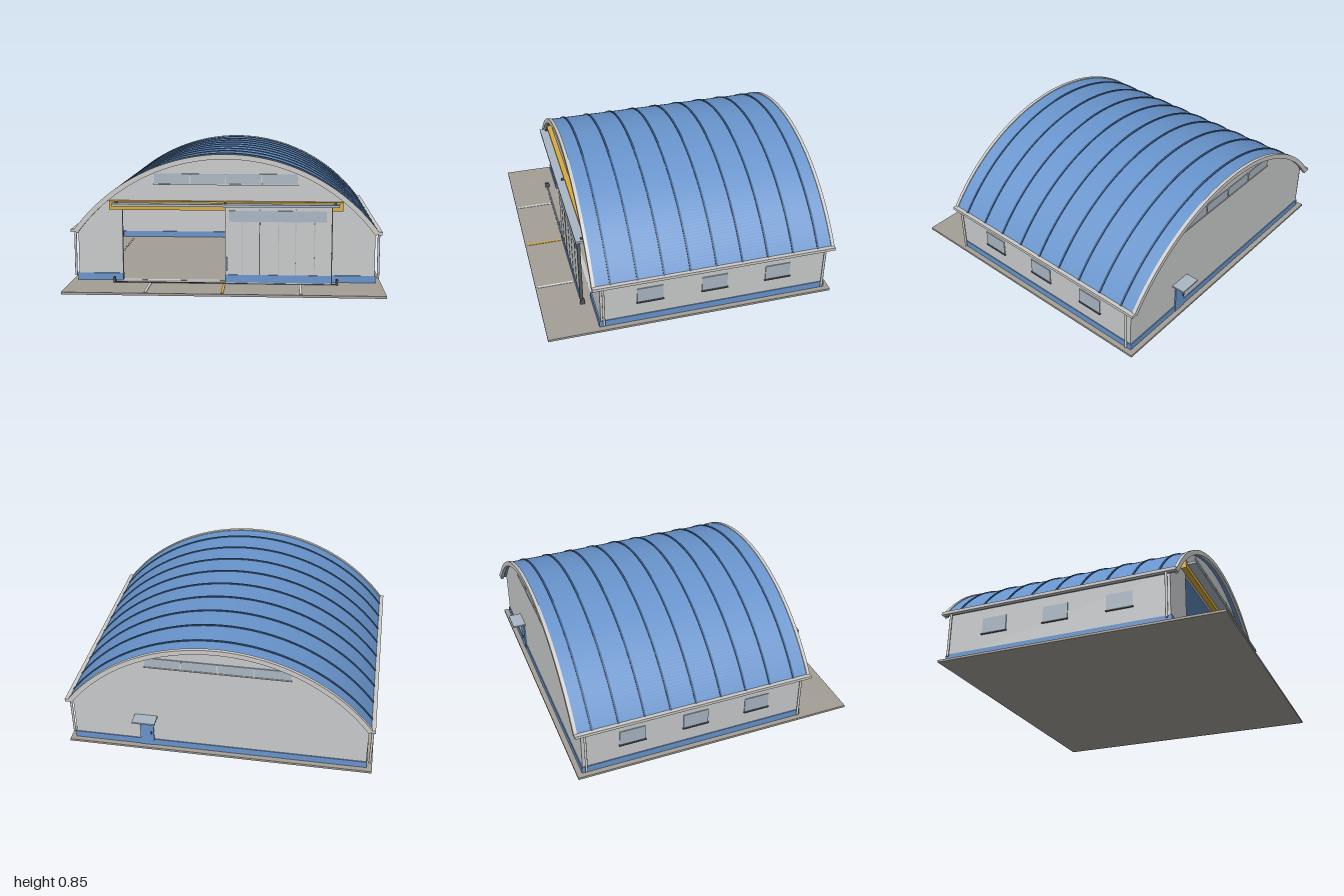
import * as THREE from 'three';
import { toCreasedNormals } from 'three/addons/utils/BufferGeometryUtils.js';

const material = (name, color) => {
  const m = new THREE.MeshStandardMaterial({ color });
  m.name = name;
  return m;
};

export function createModel() {
  const wall = material('wall grey', 0xc8c9ca);
  const blue = material('sheet blue', 0x6894cc);
  const rib = material('seam blue', 0x3c608c);
  const trim = material('trim grey', 0xcbcac7);
  const steel = material('pale steel', 0xa9b6c2);
  const dark = material('dark steel', 0x555b62);
  const yellow = material('beam yellow', 0xd8aa3c);
  const concrete = material('concrete', 0xa39e96);
  const white = material('marking white', 0xdedede);

  const model = new THREE.Group();
  model.name = 'hangar';
  const add = (name, geometry, mat) => {
    const mesh = new THREE.Mesh(geometry, mat);
    mesh.name = name;
    model.add(mesh);
    return mesh;
  };
  // Box given by its limits on each axis
  const box = (name, mat, x0, x1, y0, y1, z0, z1) => {
    const g = new THREE.BoxGeometry(x1 - x0, y1 - y0, z1 - z0);
    g.translate((x0 + x1) / 2, (y0 + y1) / 2, (z0 + z1) / 2);
    return add(name, g, mat);
  };
  const extrude = (name, mat, shape, z0, z1) => {
    const g = new THREE.ExtrudeGeometry(shape, { depth: z1 - z0, bevelEnabled: false, curveSegments: 56 });
    g.translate(0, 0, z0);
    return add(name, toCreasedNormals(g, 0.5), mat);
  };

  // Vaulted bands share one arc centre
  const CY = -0.375, SPAN = 0.935;
  const band = (name, mat, rIn, rOut, z0, z1) => {
    const s = new THREE.Shape();
    s.absarc(0, CY, rOut, Math.PI / 2 - SPAN, Math.PI / 2 + SPAN, false);
    s.absarc(0, CY, rIn, Math.PI / 2 + SPAN, Math.PI / 2 - SPAN, true);
    s.closePath();
    return extrude(name, mat, s, z0, z1);
  };

  // Ground slab and painted lines
  box('slab', concrete, -1, 1, 0, 0.015, -0.93, 0.975);
  box('centreLine', yellow, -0.012, 0.004, 0.015, 0.018, 0.72, 0.96);
  for (const x of [-0.48, 0.48]) box('apronLine', white, x - 0.008, x + 0.008, 0.015, 0.018, 0.72, 0.96);
  for (const x of [-0.83, 0.83])
    for (let i = 0; i < 10; i++) {
      const z = -0.75 + i * 0.13;
      box('floorDash', white, x - 0.006, x + 0.006, 0.015, 0.018, z, z + 0.07);
    }

  // Roof sheet, standing seams and edge trim
  band('roofSheet', blue, 1.198, 1.214, -0.92, 0.668);
  for (let i = 0; i < 9; i++) {
    const z = -0.82 + i * 0.1725;
    band('roofSeam', rib, 1.212, 1.22, z - 0.006, z + 0.006);
  }
  band('frontRoofTrim', trim, 1.188, 1.22, 0.658, 0.68);
  band('backRoofTrim', trim, 1.188, 1.22, -0.935, -0.913);

  // Gable walls
  const gable = () => {
    const s = new THREE.Shape();
    const a = Math.asin(0.96 / 1.2);
    s.moveTo(-0.96, 0.015);
    s.lineTo(0.96, 0.015);
    s.absarc(0, CY, 1.2, Math.PI / 2 - a, Math.PI / 2 + a, false);
    s.closePath();
    return s;
  };
  const frontShape = gable();
  frontShape.holes.push(new THREE.Path([[-0.67, 0.0155], [-0.67, 0.5], [0.67, 0.5], [0.67, 0.0155]]
    .map(([x, y]) => new THREE.Vector2(x, y))));
  extrude('frontWall', wall, frontShape, 0.605, 0.63);
  extrude('backWall', wall, gable(), -0.89, -0.865);
  box('backPlinth', blue, -0.965, 0.965, 0.015, 0.06, -0.896, -0.859);

  // Gable windows with mullions
  for (const [z, d] of [[0.63, 1], [-0.89, -1]]) {
    const near = (a, b) => [Math.min(z + a * d, z + b * d), Math.max(z + a * d, z + b * d)];
    box('gableWindow', steel, -0.46, 0.46, 0.65, 0.715, ...near(0, 0.006));
    for (const x of [-0.23, 0, 0.23])
      box('mullion', trim, x - 0.004, x + 0.004, 0.65, 0.715, ...near(0, 0.01));
    box('windowSill', trim, -0.465, 0.465, 0.643, 0.65, ...near(0, 0.01));
  }

  // Parts mirrored on both sides
  for (const s of [-1, 1]) {
    const side = (name, mat, a, b, y0, y1, z0, z1) =>
      box(name, mat, Math.min(a * s, b * s), Math.max(a * s, b * s), y0, y1, z0, z1);
    side('sideWall', wall, 0.935, 0.96, 0.015, 0.345, -0.866, 0.606);
    side('sidePlinth', blue, 0.929, 0.966, 0.015, 0.06, -0.895, 0.638);
    side('frontPlinth', blue, 0.67, 0.965, 0.015, 0.06, 0.6, 0.639);
    side('gutter', trim, 0.972, 0.999, 0.336, 0.356, -0.935, 0.68);
    for (const z of [0.612, -0.87]) {
      const pipe = new THREE.CylinderGeometry(0.008, 0.008, 0.3, 12);
      pipe.translate(0.984 * s, 0.188, z);
      add('downpipe', pipe, trim);
    }
    for (const z of [0.305, -0.125, -0.555]) {
      side('sideWindow', steel, 0.96, 0.966, 0.167, 0.27, z - 0.085, z + 0.085);
      side('sideWindowSill', dark, 0.96, 0.972, 0.158, 0.166, z - 0.09, z + 0.09);
    }
    for (const z of [-0.47, -0.125, 0.22])
      side('innerColumn', dark, 0.915, 0.935, 0.015, 0.36, z - 0.01, z + 0.01);
    side('trackStop', dark, 0.708, 0.722, 0.015, 0.05, 0.685, 0.715);
  }

  // Door beam, hanging rail and floor track
  box('doorBeam', yellow, -0.75, 0.75, 0.483, 0.54, 0.63, 0.664);
  box('doorRail', steel, -0.725, 0.725, 0.514, 0.53, 0.664, 0.722);
  for (const x of [-0.7, 0, 0.7]) box('railBracket', dark, x - 0.008, x + 0.008, 0.53, 0.54, 0.664, 0.686);
  box('floorTrack', dark, -0.72, 0.72, 0.015, 0.019, 0.692, 0.708);

  // Sliding door, parked over the left half
  box('slidingDoor', wall, 0, 0.675, 0.02, 0.514, 0.688, 0.708);
  box('doorKickPlate', blue, 0, 0.675, 0.025, 0.075, 0.708, 0.711);
  for (const x of [0.11, 0.34, 0.45, 0.57]) box('doorSeam', steel, x - 0.002, x + 0.002, 0.075, 0.5, 0.708, 0.71);
  box('doorJoint', dark, 0.218, 0.224, 0.075, 0.5, 0.708, 0.711);
  box('doorEdge', dark, 0.675, 0.682, 0.02, 0.514, 0.688, 0.71);
  box('doorWindow', steel, 0.025, 0.645, 0.42, 0.49, 0.708, 0.713);
  box('doorHandle', steel, 0.006, 0.016, 0.1, 0.19, 0.708, 0.72);

  // Back service door and canopy
  box('serviceDoor', blue, 0.43, 0.52, 0.015, 0.225, -0.899, -0.89);
  box('serviceDoorHandle', dark, 0.44, 0.45, 0.11, 0.125, -0.908, -0.899);
  box('canopy', steel, 0.4, 0.55, 0.246, 0.256, -0.978, -0.89);

  return model;
}
